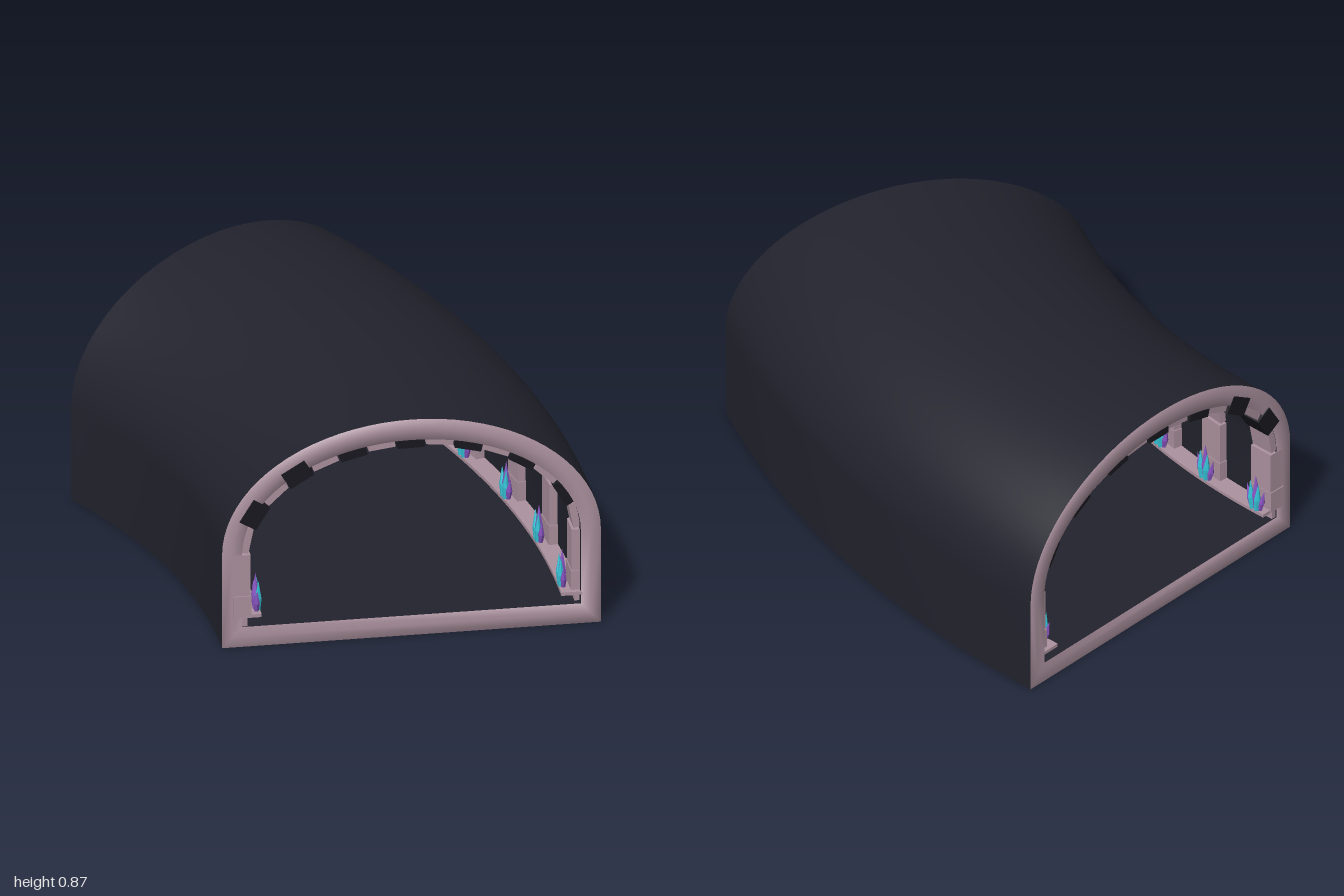
import * as THREE from 'three';
import { toCreasedNormals } from 'three/addons/utils/BufferGeometryUtils.js';

const mat = (name, color) => Object.assign(new THREE.MeshStandardMaterial({ color }), { name });
const shellMat = mat('dark shell', 0x22222d);
const blockMat = mat('dark block', 0x18181f);
const stoneMat = mat('pale mauve stone', 0xab919e);
const purpleMat = mat('purple crystal', 0x8a55c4);
const cyanMat = mat('cyan crystal', 0x35c3d6);

// The tunnel bends round a vertical axis: u across, y up, t the turning angle
const PIVOT = -3.126, RADIUS = 3.3, TURN = Math.PI / 6, SPRING = 0.375;
const place = (u, y, t) => new THREE.Vector3(
  PIVOT + (RADIUS + u) * Math.cos(t), y, 1 - (RADIUS + u) * Math.sin(t));

function addMesh(parent, name, geometry, material) {
  const m = new THREE.Mesh(geometry, material);
  m.name = name;
  parent.add(m);
  return m;
}

// Arch outline, counter-clockwise: floor corners, then right spring to left spring
function archProfile(halfWidth, floor, rise, n = 40) {
  const pts = [[-halfWidth, floor], [halfWidth, floor]];
  for (let i = 0; i <= n; i++) {
    const a = (i / n) * Math.PI;
    pts.push([halfWidth * Math.cos(a), SPRING + rise * Math.sin(a)]);
  }
  return pts;
}

// Sweep a closed outline along the bend
function sweep(profile, { inward = false, caps = false, steps = 32 } = {}) {
  const pos = [], idx = [], n = profile.length;
  for (let s = 0; s <= steps; s++)
    for (const [u, y] of profile) pos.push(...place(u, y, (s / steps) * TURN).toArray());
  const tri = (a, b, c) => (inward ? idx.push(a, c, b) : idx.push(a, b, c));
  for (let s = 0; s < steps; s++)
    for (let i = 0; i < n; i++) {
      const a = s * n + i, b = s * n + (i + 1) % n;
      tri(a, a + n, b);
      tri(b, a + n, b + n);
    }
  if (caps)
    for (let i = 1; i < n - 1; i++) {
      const e = steps * n;
      tri(0, i, i + 1);
      tri(e, e + i + 1, e + i);
    }
  const g = new THREE.BufferGeometry();
  g.setAttribute('position', new THREE.Float32BufferAttribute(pos, 3));
  g.setIndex(idx);
  return toCreasedNormals(g, 0.6);
}

// Flat end ring whose normals lean outwards at both edges for a soft rounded look
function endRing(outer, inner, t, back) {
  const pos = [], nor = [], idx = [], n = outer.length;
  const face = new THREE.Vector3(Math.sin(t), 0, Math.cos(t)).multiplyScalar(back ? -1 : 1);
  for (let k = 0; k < 3; k++)
    for (let i = 0; i < n; i++) {
      const o = place(...outer[i], t), p = place(...inner[i], t);
      const lean = o.clone().sub(p).normalize().multiplyScalar(0.6 * (1 - k));
      pos.push(...o.lerp(p, k / 2).toArray());
      nor.push(...lean.add(face).normalize().toArray());
    }
  for (let k = 0; k < 2; k++)
    for (let i = 0; i < n; i++) {
      const a = k * n + i, b = k * n + (i + 1) % n;
      if (back) idx.push(a, a + n, b, b, a + n, b + n);
      else idx.push(a, b, a + n, b, b + n, a + n);
    }
  const g = new THREE.BufferGeometry();
  g.setAttribute('position', new THREE.Float32BufferAttribute(pos, 3));
  g.setAttribute('normal', new THREE.Float32BufferAttribute(nor, 3));
  g.setIndex(idx);
  return g;
}

// Pointed six-sided crystal standing on its base
function crystalGeometry(r, h) {
  const pts = [[0, 0], [r * 0.7, 0], [r, h * 0.4], [0, h]].map(p => new THREE.Vector2(...p));
  return toCreasedNormals(new THREE.LatheGeometry(pts, 6), 0.1);
}
const tallCrystal = crystalGeometry(0.015, 0.145);
const sideCrystal = crystalGeometry(0.012, 0.095);
const cyanCrystal = crystalGeometry(0.013, 0.12);

function crystalCluster() {
  const g = new THREE.Group();
  g.name = 'crystalCluster';
  addMesh(g, 'tallCrystal', tallCrystal, purpleMat);
  for (const s of [-1, 1]) {
    const side = addMesh(g, 'sideCrystal', sideCrystal, purpleMat);
    side.position.set(0, 0, s * 0.02);
    side.rotation.x = s * 0.25;
    const cyan = addMesh(g, 'cyanCrystal', cyanCrystal, cyanMat);
    cyan.position.set(-0.008, 0, s * 0.011);
    cyan.rotation.x = s * 0.08;
  }
  return g;
}

const HALF_IN = 0.624, RISE_IN = 0.415;

function rib(t) {
  const g = new THREE.Group();
  g.name = 'rib';
  g.position.copy(place(0, 0, t));
  g.rotation.y = t;
  // Posts on both walls, with a crystal cluster on the ledge before each
  for (const s of [-1, 1]) {
    const parts = [
      ['postPlinth', 0.04, 0.04, 0.09, 0.1],
      ['postBase', 0.068, 0.085, 0.108, 0.1625],
      ['postShaft', 0.062, 0.165, 0.1, 0.2875],
    ];
    for (const [name, w, h, d, y] of parts)
      addMesh(g, name, new THREE.BoxGeometry(w, h, d), stoneMat).position.set(s * HALF_IN, y, 0);
    const cluster = crystalCluster();
    cluster.position.set(s * 0.567, 0.127, 0);
    if (s < 0) cluster.rotation.y = Math.PI;
    g.add(cluster);
  }
  // Alternating stone and dark blocks round the arch
  const arc = new THREE.EllipseCurve(0, SPRING, HALF_IN, RISE_IN, 0, Math.PI);
  const count = 15;
  for (let i = 0; i < count; i++) {
    const at = (i + 0.5) / count;
    const p = arc.getPointAt(at), d = arc.getTangentAt(at), dark = i % 2 === 1;
    const box = new THREE.BoxGeometry(0.1, dark ? 0.07 : 0.056, dark ? 0.11 : 0.095);
    const block = addMesh(g, dark ? 'darkArchBlock' : 'stoneArchBlock', box, dark ? blockMat : stoneMat);
    block.position.set(p.x, p.y, 0);
    block.rotation.z = Math.atan2(d.y, d.x);
  }
  return g;
}

export function createModel() {
  const model = new THREE.Group();
  model.name = 'curvedTunnel';
  const outer = archProfile(0.698, 0, 0.498);
  const inner = archProfile(HALF_IN, 0.08, RISE_IN);

  addMesh(model, 'outerShell', sweep(outer), shellMat);
  addMesh(model, 'innerLining', sweep(inner, { inward: true }), shellMat);
  addMesh(model, 'frontRim', endRing(outer, inner, 0, false), stoneMat);
  addMesh(model, 'backRim', endRing(outer, inner, TURN, true), stoneMat);

  // Thin ledge along each wall
  for (const s of [-1, 1]) {
    const a = s * 0.552, b = s * 0.63, l = Math.min(a, b), r = Math.max(a, b);
    const ledge = [[l, 0.115], [r, 0.115], [r, 0.128], [l, 0.128]];
    addMesh(model, 'wallLedge', sweep(ledge, { caps: true }), stoneMat);
  }

  // Six ribs spread evenly along the bend
  for (let i = 0; i < 6; i++) model.add(rib(THREE.MathUtils.degToRad(1.05 + i * 5.58)));
  return model;
}
